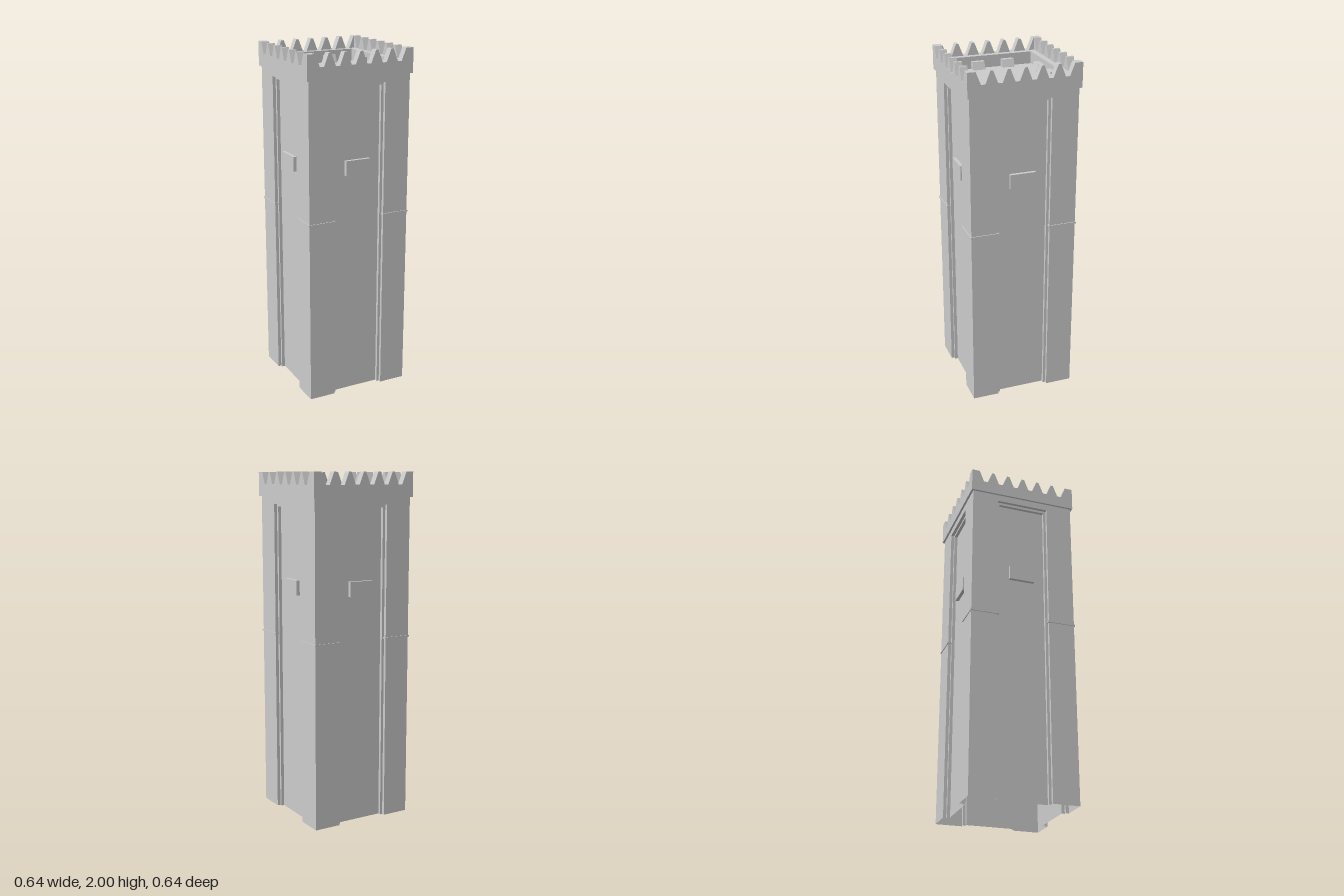
import * as THREE from 'three';

const HALF = 0.31;      // half width of the shaft
const RIM = 0.322;      // half width of the parapet
const DECK = 1.86;      // roof deck level
const LEDGE = 1.93;     // parapet ledge level

const stone = new THREE.MeshStandardMaterial({
  color: 0xcccccc, flatShading: true, side: THREE.DoubleSide,
});

function add(parent, name, geometry, x = 0, y = 0, z = 0) {
  const mesh = new THREE.Mesh(geometry, stone);
  mesh.name = name;
  mesh.position.set(x, y, z);
  parent.add(mesh);
  return mesh;
}

const polygon = (points) => new THREE.Shape(points.map(([x, y]) => new THREE.Vector2(x, y)));

const extrude = (shape, depth) =>
  new THREE.ExtrudeGeometry(shape, { depth, bevelEnabled: false });

// Flat sheet with a doorway-shaped cut-out, open at the ground
const portalSheet = (w, h, iw, ih) => new THREE.ShapeGeometry(polygon([
  [-w, 0], [-iw, 0], [-iw, ih], [iw, ih], [iw, 0], [w, 0], [w, h], [-w, h],
]));

// Jambs and soffit joining two portal depths
function addReveal(parent, w, h, zFront, depth) {
  const z = zFront - depth / 2;
  for (const s of [-1, 1]) {
    add(parent, 'recessJamb', new THREE.PlaneGeometry(depth, h), s * w, h / 2, z)
      .rotation.y = -s * Math.PI / 2;
  }
  add(parent, 'recessSoffit', new THREE.PlaneGeometry(2 * w, depth), 0, h, z)
    .rotation.x = Math.PI / 2;
}

// One wall with a stepped recess, plaque and string courses
function createWall() {
  const wall = new THREE.Group();
  wall.name = 'wall';
  add(wall, 'wallFace', portalSheet(HALF, DECK, 0.155, 1.82), 0, 0, HALF);
  addReveal(wall, 0.155, 1.82, HALF, 0.018);
  add(wall, 'recessFrame', portalSheet(0.155, 1.82, 0.14, 1.805), 0, 0, 0.292);
  addReveal(wall, 0.14, 1.805, 0.292, 0.018);
  add(wall, 'recessPanel', new THREE.PlaneGeometry(0.28, 1.805), 0, 0.9025, 0.274);
  add(wall, 'plaque', new THREE.BoxGeometry(0.15, 0.085, 0.02), 0, 1.357, 0.284);
  for (const s of [-1, 1]) {
    add(wall, 'stringCourse', new THREE.BoxGeometry(0.165, 0.01, 0.023), s * 0.2325, 1.065, 0.3035);
  }
  return wall;
}

// Row of tapered merlons along one side
function createBattlement() {
  const row = new THREE.Group();
  row.name = 'battlement';
  const rise = 2 - LEDGE;
  const depth = RIM - 0.28;
  const merlon = extrude(polygon([
    [-0.035, 0], [0.035, 0], [0.0075, rise], [-0.0075, rise],
  ]), depth);
  for (let i = -2; i <= 2; i++) add(row, 'merlon', merlon, i * 0.0945, LEDGE, 0.28);
  add(row, 'cornerMerlon', extrude(polygon([
    [0.248, 0], [RIM, 0], [RIM, rise], [0.276, rise],
  ]), depth), 0, LEDGE, 0.28);
  add(row, 'cornerMerlon', extrude(polygon([
    [-RIM, 0], [-0.248, 0], [-0.276, rise], [-RIM, rise],
  ]), depth), 0, LEDGE, 0.28);
  return row;
}

// Pair of sloped blocks on the deck against the parapet
function createDeckBlocks(shift) {
  const pair = new THREE.Group();
  pair.name = 'deckBlocks';
  const width = 0.071;
  const block = extrude(polygon([
    [-0.246, 0], [-0.203, 0], [-0.22, 0.044], [-0.246, 0.044],
  ]), width);
  for (const s of [-1, 1]) {
    add(pair, 'deckBlock', block, s * 0.089 + shift + width / 2, DECK, 0).rotation.y = Math.PI / 2;
    pair.children.at(-1).position.x -= width;
  }
  return pair;
}

export function createModel() {
  const tower = new THREE.Group();
  tower.name = 'tower';

  // Four identical sides
  for (let i = 0; i < 4; i++) {
    const side = new THREE.Group();
    side.name = 'towerSide';
    // the side pairs sit slightly towards the back
    const shift = i === 1 ? 0.006 : i === 3 ? -0.006 : 0;
    side.add(createWall(), createBattlement(), createDeckBlocks(shift));
    side.rotation.y = i * Math.PI / 2;
    tower.add(side);
  }

  // Parapet ring with its inner ledge
  const square = (r) => [[-r, -r], [r, -r], [r, r], [-r, r]];
  const ring = polygon(square(RIM));
  ring.holes.push(polygon(square(0.246)));
  add(tower, 'parapet', extrude(ring, LEDGE - DECK), 0, DECK, 0).rotation.x = -Math.PI / 2;

  // Roof deck
  add(tower, 'roofDeck', new THREE.PlaneGeometry(0.492, 0.492), 0, DECK, 0)
    .rotation.x = -Math.PI / 2;

  return tower;
}
